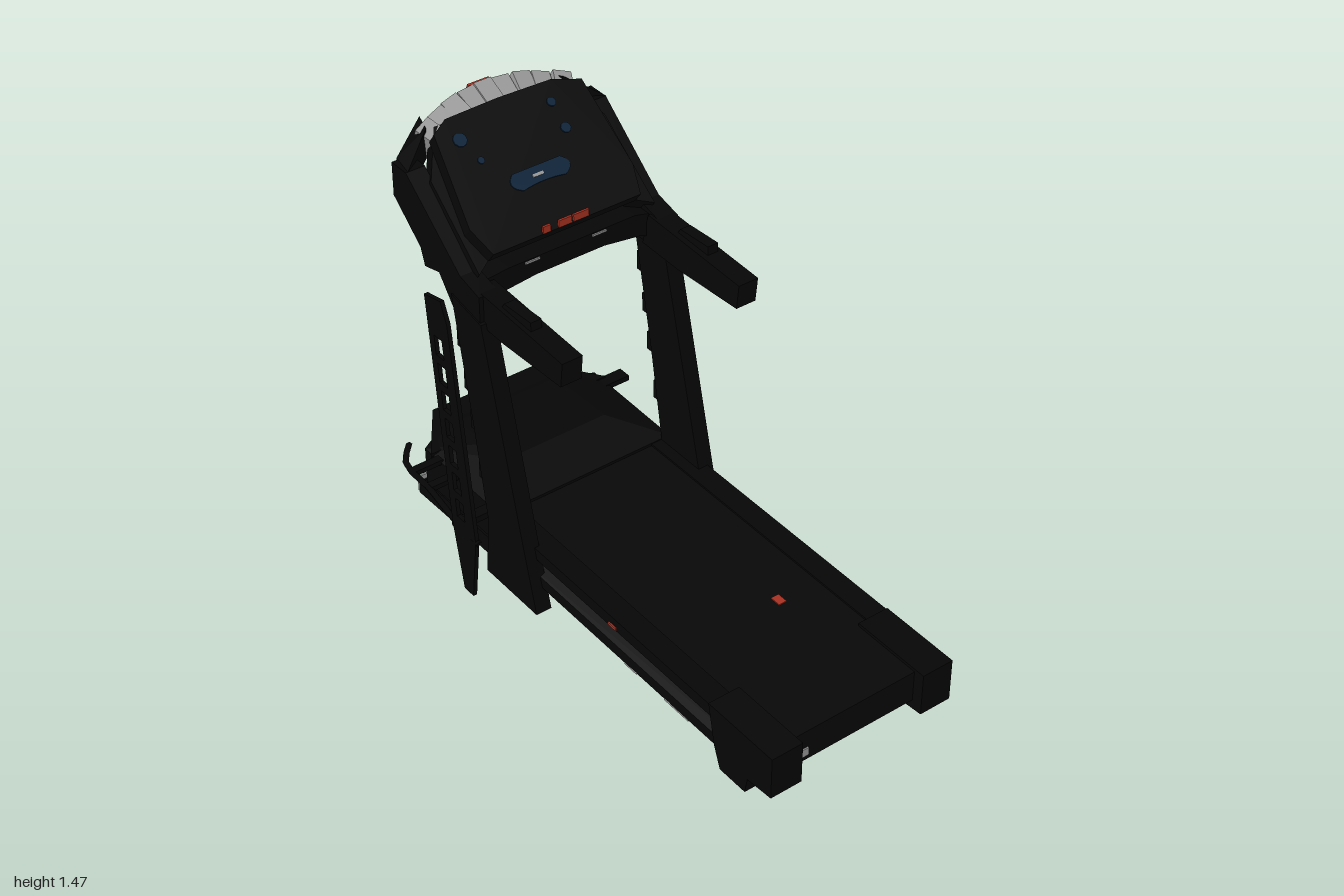
import * as THREE from 'three';
import { ConvexGeometry } from 'three/addons/geometries/ConvexGeometry.js';

const mat = (name, color) => {
  const m = new THREE.MeshStandardMaterial({ color });
  m.name = name;
  return m;
};

export function createModel() {
  const black = mat('black', 0x060606);
  const beltBlack = mat('beltBlack', 0x080808);
  const grey = mat('grey', 0x989898);
  const blue = mat('blue', 0x0a2238);
  const red = mat('red', 0xa83020);
  const brown = mat('brown', 0x5c2410);
  const root = new THREE.Group();
  root.name = 'treadmill';
  const CX = 0.03; // centre line of the machine

  const add = (name, geo, m, parent = root) => {
    const mesh = new THREE.Mesh(geo, m);
    mesh.name = name;
    parent.add(mesh);
    return mesh;
  };
  // box given by its limits
  const box = (name, m, x0, x1, y0, y1, z0, z1, parent = root) => {
    const b = add(name, new THREE.BoxGeometry(x1 - x0, y1 - y0, z1 - z0), m, parent);
    b.position.set((x0 + x1) / 2, (y0 + y1) / 2, (z0 + z1) / 2);
    return b;
  };
  const shapeOf = (pts) => new THREE.Shape(pts.map(([a, b]) => new THREE.Vector2(a, b)));
  // outline in (x, y), extruded from z0 to z1
  const front = (name, pts, z0, z1, parent = root) => {
    const g = new THREE.ExtrudeGeometry(shapeOf(pts), { depth: z1 - z0, bevelEnabled: false });
    g.translate(0, 0, z0);
    return add(name, g, black, parent);
  };
  // outline in (z, y), extruded from x0 to x1
  const side = (name, pts, x0, x1, m = black, holes = []) => {
    const s = shapeOf(pts);
    s.holes = holes.map(shapeOf);
    const g = new THREE.ExtrudeGeometry(s, { depth: x1 - x0, bevelEnabled: false });
    g.rotateY(-Math.PI / 2);
    g.translate(x1, 0, 0);
    return add(name, g, m);
  };
  const pair = (name, pts, inner, outer, c = CX) => {
    side(name + 'Left', pts, c + inner, c + outer);
    side(name + 'Right', pts, c - outer, c - inner);
  };
  // convex solid from half-width points mirrored about the centre line
  const hull = (name, pts, sides) => add(name, new ConvexGeometry(sides.flatMap((s) =>
    pts.map(([x, y, z]) => new THREE.Vector3(CX + s * x, y, z)))), black);

  // running deck with grooved side rails
  box('runningBelt', beltBlack, -0.25, 0.31, 0.12, 0.236, -0.42, 0.96);
  for (const s of [-1, 1]) {
    const rail = [[0.27, 0.1], [0.35, 0.1], [0.35, 0.14], [0.316, 0.152], [0.35, 0.2], [0.35, 0.243], [0.27, 0.243]];
    front(s > 0 ? 'deckRailLeft' : 'deckRailRight', rail.map(([x, y]) => [CX + s * x, y]), -0.45, 0.98);
  }
  pair('rearFoot', [[1, 0.247], [1, 0.09], [0.89, 0.08], [0.88, 0.02], [0.76, 0.02],
    [0.73, 0.1], [0.7, 0.247]], 0.235, 0.352);

  // deck trim: stripes lean with the upper wall of the groove
  const stripe = (name, m, pts) => {
    const mesh = side(name, pts, -0.002, 0.003, m);
    const p = mesh.geometry.attributes.position;
    for (let i = 0; i < p.count; i++) p.setX(i, p.getX(i) + 0.381 - (0.2 - p.getY(i)) * 0.708);
    mesh.geometry.computeVertexNormals();
  };
  stripe('brownStripe', brown, [[0.66, 0.156], [0.62, 0.182], [0.27, 0.175], [0.27, 0.156]]);
  stripe('redStripe', red, [[0.28, 0.165], [0.24, 0.19], [0.08, 0.19], [0, 0.199], [-0.16, 0.199],
    [-0.16, 0.165], [0, 0.165], [0.07, 0.156], [0.12, 0.168]]);
  box('redTab', red, 0.37, 0.385, 0.165, 0.185, 0.02, 0.14);
  box('redTab', red, 0.37, 0.385, 0.18, 0.2, -0.12, -0.04);
  box('deckMarker', red, 0.13, 0.16, 0.234, 0.24, 0.44, 0.48);
  box('endPlate', grey, -0.195, -0.15, 0.14, 0.17, 0.955, 0.965);
  box('sideMarkerRight', red, -0.325, -0.319, 0.205, 0.215, 0.2, 0.24);
  box('underPlate', grey, -0.32, -0.27, 0.094, 0.102, 0.48, 0.6);
  box('underPlate', grey, -0.32, -0.28, 0.094, 0.102, 0.28, 0.34);

  // motor hood with chamfered rear corners
  hull('motorHood', [[0.345, 0.11, -0.4], [0.345, 0.246, -0.4], [0.35, 0.11, -0.83],
    [0.35, 0.25, -0.83], [0.2, 0.11, -0.91], [0.2, 0.25, -0.92], [0.2, 0.295, -0.57],
    [0.2, 0.293, -0.68], [0.2, 0.275, -0.86]], [-1, 1]);
  hull('hoodLip', [0.247, 0.26].flatMap((y) => [[0.36, y, -0.78], [0.22, y, -0.98], [0.2, y, -0.85]]), [-1, 1]);
  box('hoodVent', red, -0.04, 0.12, 0.106, 0.12, -0.4, -0.391);
  for (const s of [-1, 1]) {
    const lamp = add('cornerLamp', new THREE.BoxGeometry(0.1, 0.055, 0.009), s > 0 ? red : brown);
    lamp.position.set(CX + s * 0.29, 0.185, -0.865);
    lamp.rotation.y = Math.PI - s * 0.51;
  }

  // base frame under the hood
  pair('baseRail', [[-0.3, 0.02], [-0.3, 0.09], [-0.86, 0.09], [-0.9, 0.06], [-0.9, 0.012], [-0.6, 0.02]], 0.26, 0.34);
  box('baseCrossbarFront', black, -0.24, 0.3, 0.035, 0.082, -0.36, -0.28);
  box('baseCrossbarRear', black, -0.24, 0.3, 0.02, 0.085, -0.89, -0.8);
  for (const s of [-1, 1]) {
    const x = CX + s * 0.315;
    box('baseEndCap', grey, x - 0.026, x + 0.026, 0.02, 0.08, -0.905, -0.898);
  }
  for (const x of [-0.12, 0.2]) box('baseClip', grey, x - 0.025, x + 0.025, 0.04, 0.046, -0.282, -0.276);

  // uprights and the clips along their rear edges
  pair('upright', [[-0.14, 0.02], [-0.2, 0.25], [-0.39, 1.02], [-0.55, 1.05], [-0.52, 0.9],
    [-0.46, 0.6], [-0.4, 0.25], [-0.42, 0.02]], 0.322, 0.38, 0.02);
  for (const s of [-1, 1]) {
    for (const y of [0.42, 0.6, 0.74, 0.89]) {
      const x = 0.02 + s * 0.35, z = -0.35 - 0.19 * y;
      box('uprightClip', black, x - 0.02, x + 0.02, y - 0.035, y + 0.035, z - 0.025, z + 0.03);
    }
  }

  // perforated strap standing beside the right upright
  const holes = [];
  for (let i = 0; i < 7; i++) {
    const y = 0.3 + i * 0.1, z = -0.365 - 0.115 * y;
    holes.push([[z - 0.022, y], [z + 0.022, y], [z + 0.014, y + 0.07], [z - 0.028, y + 0.07]]);
  }
  side('sideStrap', [[-0.35, 0.01], [-0.32, 0.25], [-0.42, 1.05], [-0.45, 1.12], [-0.54, 1.1],
    [-0.45, 0.25], [-0.4, 0.01]], -0.463, -0.449, black, holes);
  box('strapBracket', black, -0.46, -0.3, 0.235, 0.258, -0.46, -0.42);
  const edge = new THREE.CatmullRomCurve3([[-0.455, -0.31], [-0.45, -0.45], [-0.425, -0.65],
    [-0.415, -0.8], [-0.35, -0.88]].map(([x, z]) => new THREE.Vector3(x, 0.25, z)));
  add('hoodEdgeStrip', new THREE.TubeGeometry(edge, 12, 0.011, 5), black);
  for (const z of [-0.65, -0.75]) box('stripTie', black, -0.42, -0.31, 0.24, 0.258, z - 0.015, z + 0.015);
  box('hoodTab', black, 0.36, 0.46, 0.235, 0.255, -0.79, -0.74);

  // handlebars and console arms
  pair('handlebar', [[0.01, 1.1], [-0.17, 1.108], [-0.45, 1.12], [-0.48, 1.0], [-0.3, 0.995], [0, 1.01]], 0.295, 0.37);
  pair('gripControl', [[-0.17, 1.1], [-0.17, 1.14], [-0.31, 1.132], [-0.33, 1.1]], 0.315, 0.355);
  pair('consoleArm', [[-0.4, 1.0], [-0.55, 1.0], [-0.62, 1.09], [-0.7, 1.07], [-0.72, 1.13],
    [-0.86, 1.25], [-0.86, 1.37], [-0.78, 1.37], [-0.5, 1.14], [-0.4, 1.115]], 0.31, 0.38, 0.025);
  for (const s of [-1, 1]) {
    hull('consoleCorner', [[0.377, 1.25, -0.8], [0.377, 1.37, -0.78], [0.36, 1.27, -0.87], [0.36, 1.37, -0.87],
      [0.22, 1.33, -0.95], [0.22, 1.43, -0.95], [0.24, 1.33, -0.88], [0.26, 1.45, -0.85]], [s]);
  }

  // arched crossbar
  front('crossbar', [[-0.31, 1.12], [-0.31, 1.03], [-0.24, 1.05], [-0.1, 1.065], [0.16, 1.065],
    [0.3, 1.045], [0.36, 1.02], [0.36, 1.11], [0.28, 1.13], [-0.2, 1.13]], -0.59, -0.46);
  for (const x of [-0.115, 0.14]) box('pulseSensor', grey, x - 0.027, x + 0.027, 1.119, 1.126, -0.462, -0.455);

  // tilted console: local y runs up the slope, local z is its normal
  const con = new THREE.Group();
  con.name = 'console';
  con.position.set(0.02, 1.205, -0.455);
  con.rotation.x = -0.925;
  root.add(con);
  front('consolePanel', [[-0.28, 0], [0.28, 0], [0.31, 0.1], [0.3, 0.42], [0.2, 0.455], [0, 0.46],
    [-0.2, 0.455], [-0.26, 0.42], [-0.31, 0.1]], -0.05, 0, con);
  front('consoleBack', [[-0.33, -0.03], [-0.25, 0.02], [-0.2, 0.08], [0.2, 0.08], [0.25, 0.02], [0.34, -0.03],
    [0.34, 0.3], [0.24, 0.46], [-0.22, 0.46], [-0.32, 0.3]], -0.11, -0.05, con);
  const display = new THREE.Shape();
  display.moveTo(-0.08, 0.15);
  display.quadraticCurveTo(0, 0.165, 0.08, 0.15);
  display.quadraticCurveTo(0.135, 0.175, 0.09, 0.212);
  display.lineTo(-0.09, 0.212);
  display.quadraticCurveTo(-0.135, 0.175, -0.08, 0.15);
  add('display', new THREE.ExtrudeGeometry(display, { depth: 0.004, bevelEnabled: false }), blue, con);
  box('displayMark', grey, -0.03, 0.01, 0.177, 0.187, 0.003, 0.007, con);
  for (const [x, y, r] of [[-0.19, 0.375, 0.024], [0.16, 0.385, 0.016], [0.16, 0.29, 0.018], [-0.16, 0.29, 0.012]]) {
    const b = add('button', new THREE.CylinderGeometry(r, r, 0.006, 10), blue, con);
    b.rotation.x = Math.PI / 2;
    b.position.set(x, y, 0.002);
  }
  // upright keys along the lower edge
  for (const [x, w] of [[-0.06, 0.028], [0.01, 0.05], [0.07, 0.058]]) {
    box('redKey', red, x - w / 2, x + w / 2, 1.205, 1.23, -0.463, -0.455);
  }

  // arched fan of pale slats behind the console
  for (let i = 0; i < 9; i++) {
    const t = (i - 4) / 4;
    const slat = add('rearSlat', new THREE.BoxGeometry(0.064, 0.11 - 0.012 * (i % 2), 0.125), grey);
    slat.position.set(CX + 0.01 + t * 0.235, 1.408 - 0.03 * t * t, -0.905 + 0.05 * t * t);
    slat.rotation.set(0.45, -t * 0.4, -t * 0.2 + 0.05 * ((i % 3) - 1));
  }
  const badge = add('rearBadge', new THREE.BoxGeometry(0.08, 0.028, 0.008), red);
  badge.position.set(0.03, 1.468, -0.949);
  badge.rotation.x = 0.45;
  return root;
}
